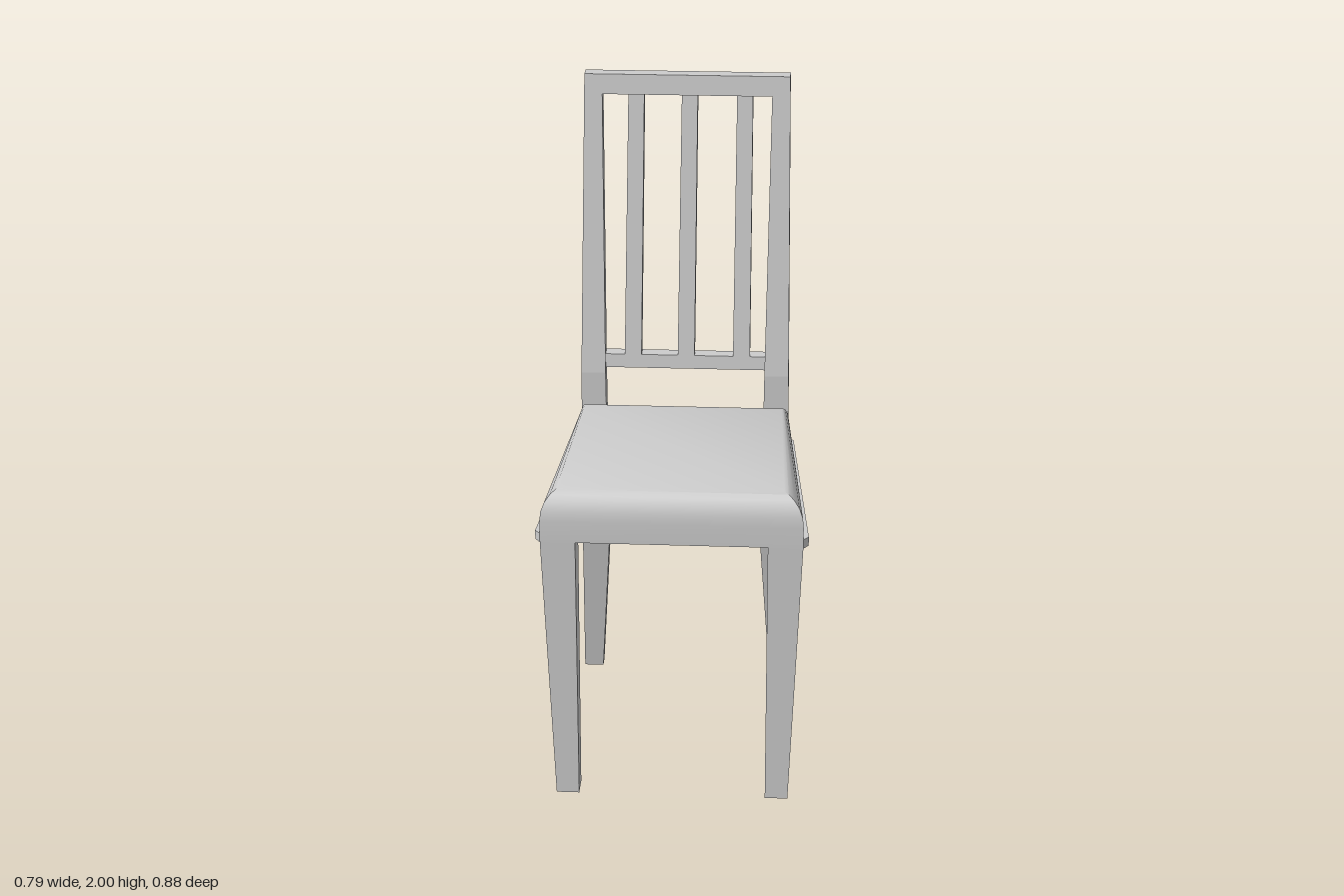
import * as THREE from 'three';
import { toCreasedNormals } from 'three/addons/utils/BufferGeometryUtils.js';

const material = new THREE.MeshStandardMaterial({ color: 0xcccccc, side: THREE.DoubleSide });

// Rectangular ring at height y, counter-clockwise seen from above
function ring(y, xa, xb, za, zb) {
  const x0 = Math.min(xa, xb), x1 = Math.max(xa, xb);
  const z0 = Math.min(za, zb), z1 = Math.max(za, zb);
  return [[x1, y, z1], [x1, y, z0], [x0, y, z0], [x0, y, z1]];
}

// Closed solid through a stack of rings, bottom to top
function loft(name, rings, crease = 0.3) {
  const n = rings[0].length, index = [];
  for (let r = 0; r < rings.length - 1; r++) {
    for (let i = 0; i < n; i++) {
      const a = r * n + i, b = r * n + (i + 1) % n;
      index.push(a, b, b + n, a, b + n, a + n);
    }
  }
  const top = (rings.length - 1) * n;
  for (let i = 1; i < n - 1; i++) {
    index.push(0, i + 1, i, top, top + i, top + i + 1);
  }
  const geometry = new THREE.BufferGeometry();
  geometry.setAttribute('position', new THREE.Float32BufferAttribute(rings.flat(2), 3));
  geometry.setIndex(index);
  const mesh = new THREE.Mesh(toCreasedNormals(geometry, crease), material);
  mesh.name = name;
  return mesh;
}

// Front face of the leaning backrest at height y
const backFront = (y) => -0.275 - Math.max(0, y - 1.08) * 0.13;

export function createModel() {
  const chair = new THREE.Group();
  chair.name = 'chair';

  // Tapered seat cushion with a rounded top: [y, side and front inset, back inset]
  const cushion = [
    [0.845, 0, 0], [0.91, 0, 0], [0.94, 0.003, 0.008], [0.965, 0.013, 0.02],
    [0.985, 0.029, 0.037], [0.996, 0.045, 0.055], [1.0, 0.058, 0.075],
  ];
  chair.add(loft('seatCushion', cushion.map(([y, s, b]) => {
    const f = 0.38 - s, r = 0.325 - s * 0.4, zf = 0.44 - s * 0.9, zb = -0.275 + b;
    return [[f, y, zf], [r, y, zb], [-r, y, zb], [-f, y, zf]];
  }), 0.7));

  for (const side of [1, -1]) {
    const label = side > 0 ? 'left' : 'right';

    // Thin moulding along the side of the seat
    const outline = [[0.38, 0.44], [0.395, 0.42], [0.34, -0.26], [0.325, -0.275]];
    if (side < 0) outline.reverse();
    chair.add(loft(label + 'SeatMoulding', [0.845, 0.873].map(
      (y) => outline.map(([x, z]) => [side * x, y, z]))));

    // Tapered front leg
    chair.add(loft(label + 'FrontLeg', [
      ring(0, side * 0.28, side * 0.348, 0.362, 0.43),
      ring(0.845, side * 0.278, side * 0.38, 0.345, 0.44),
    ]));

    // Back leg running up into the backrest post, bent at two heights
    chair.add(loft(label + 'BackPost', [
      ring(0, side * 0.273, side * 0.333, -0.405, -0.362),
      ring(0.49, side * 0.241, side * 0.325, -0.328, -0.275),
      ring(1.08, side * 0.246, side * 0.321, -0.327, -0.275),
      ring(2, side * 0.256, side * 0.309, -0.44, backFront(2)),
    ], 0.05));
  }

  // Top and lower rails of the backrest
  const rail = (name, y0, y1, half, inset, depth) => loft(name, [y0, y1].map((y) =>
    ring(y, -half, half, backFront(y) - inset - depth, backFront(y) - inset)));
  chair.add(rail('topRail', 1.94, 2, 0.309, 0, 0.045));
  chair.add(rail('lowerRail', 1.095, 1.137, 0.255, 0.01, 0.043));

  // Three upright slats: [bottom x, top x]
  [[-0.161, -0.153], [0.003, 0.008], [0.174, 0.174]].forEach(([xb, xt], i) => {
    const station = (y, x, half) =>
      ring(y, x - half, x + half, backFront(y) - 0.045, backFront(y) - 0.008);
    chair.add(loft('slat' + (i + 1), [station(1.125, xb, 0.026), station(1.95, xt, 0.024)]));
  });

  return chair;
}
